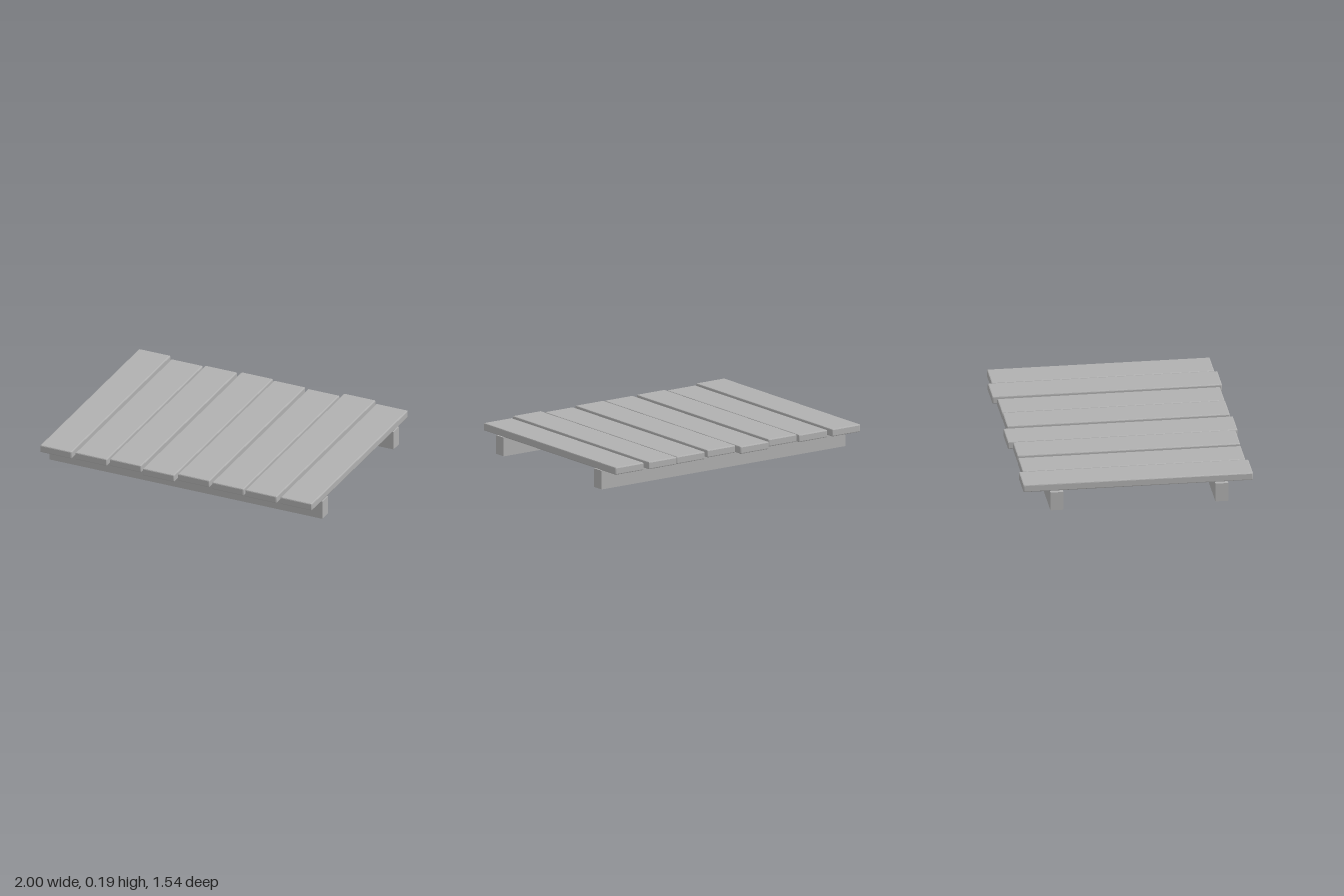
import * as THREE from 'three';
import { RoundedBoxGeometry } from 'three/addons/geometries/RoundedBoxGeometry.js';
import { toCreasedNormals } from 'three/addons/utils/BufferGeometryUtils.js';

export function createModel() {
  const group = new THREE.Group();
  group.name = 'plankPlatform';
  const wood = new THREE.MeshStandardMaterial({ color: 0xb0b0b0 });
  wood.name = 'plain grey';

  const add = (name, geometry, x, y, z) => {
    const mesh = new THREE.Mesh(geometry, wood);
    mesh.name = name;
    mesh.position.set(x, y, z);
    group.add(mesh);
  };

  // Two support beams running across the full width
  const beam = new THREE.BoxGeometry(2, 0.128, 0.086);
  add('frontBeam', beam, 0, 0.064, 0.558);
  add('backBeam', beam, 0, 0.064, -0.546);

  // Chamfered planks: every third is longer, every second sits slightly higher
  const plank = (length) =>
    toCreasedNormals(new RoundedBoxGeometry(0.232, 0.052, length, 1, 0.007), 0.3);
  const longPlank = plank(1.538);
  const shortPlank = plank(1.492);
  for (let i = 0; i < 8; i++) {
    const isLong = i % 3 === 0;
    const y = i % 2 === 0 ? 0.161 : 0.154;
    add(`plank${i + 1}`, isLong ? longPlank : shortPlank, -0.875 + 0.2505 * i, y, isLong ? 0 : 0.006);
  }
  return group;
}
